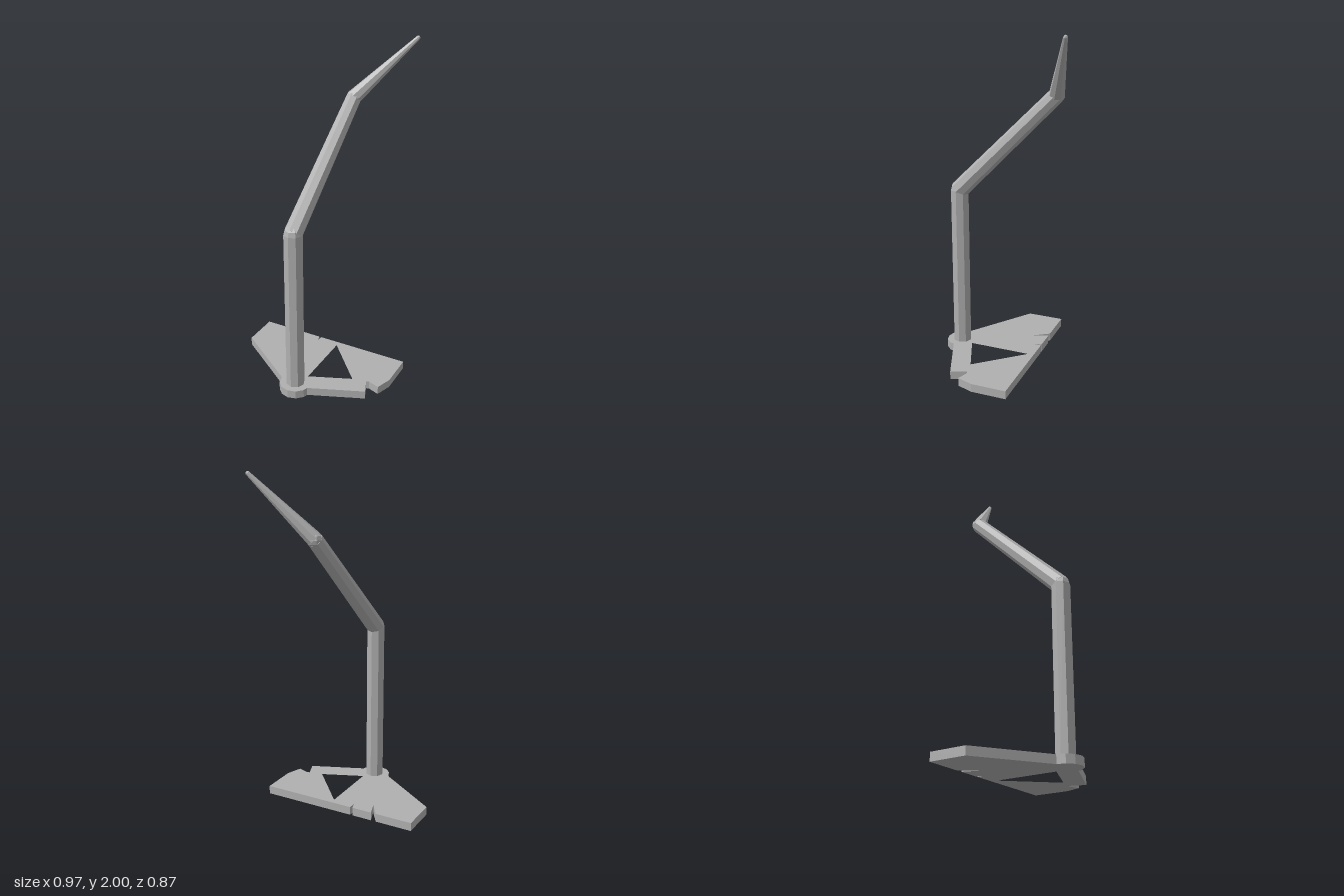
import * as THREE from 'three';

const grey = new THREE.MeshStandardMaterial({ color: 0xb0b0b0, flatShading: true });
grey.name = 'plain grey';

function part(name, geometry) {
  const mesh = new THREE.Mesh(geometry, grey);
  mesh.name = name;
  return mesh;
}

// Eight-sided rod tapering from a to b
function rod(name, a, b, ra, rb) {
  const dir = b.clone().sub(a);
  const mesh = part(name, new THREE.CylinderGeometry(rb, ra, dir.length(), 8));
  mesh.position.copy(a).addScaledVector(dir, 0.5);
  mesh.quaternion.setFromUnitVectors(new THREE.Vector3(0, 1, 0), dir.normalize());
  return mesh;
}

function joint(name, p, r) {
  const mesh = part(name, new THREE.SphereGeometry(r, 8, 6));
  mesh.position.copy(p);
  return mesh;
}

// Plan points are (x, z); the shape is drawn with z flipped
const plan = (points) => points.map(([x, z]) => new THREE.Vector2(x, -z));

export function createModel() {
  const group = new THREE.Group();
  group.name = 'bentPoleOnBase';

  // Rounded front lobe of the base, concentric with the pole
  const lobe = [];
  for (let deg = 60; deg >= -90; deg -= 30) {
    const t = THREE.MathUtils.degToRad(deg);
    lobe.push([Math.sin(t) * 0.095, 0.34 + Math.cos(t) * 0.094]);
  }

  // Notched base plate with a triangular opening
  const base = new THREE.Shape(plan([
    [-0.485, 0.07], [-0.485, -0.15], [-0.26, -0.15], [-0.198, -0.06], [-0.228, -0.15],
    [-0.105, -0.15], [-0.091, -0.104], [-0.09, -0.15], [0.485, -0.15], [0.485, 0.06],
    [0.453, 0.155], [0.385, 0.132], [0.369, 0.138], [0.405, 0.23], [0.09, 0.36],
    ...lobe,
  ]));
  base.holes.push(new THREE.Path(plan([[0.04, -0.115], [0.285, 0.155], [0.04, 0.258]])));
  const plate = new THREE.ExtrudeGeometry(base, { depth: 0.05, bevelEnabled: false });
  plate.rotateX(-Math.PI / 2);
  group.add(part('basePlate', plate));

  // Pole, leaning arm and tapered tip
  const foot = new THREE.Vector3(0, 0.01, 0.34);
  const knee = new THREE.Vector3(0, 1.03, 0.34);
  const elbow = new THREE.Vector3(0.055, 1.645, -0.277);
  const tip = new THREE.Vector3(0.37, 1.988, -0.423);
  group.add(
    rod('pole', foot, knee, 0.055, 0.055),
    joint('lowerJoint', knee, 0.055),
    rod('arm', knee, elbow, 0.055, 0.045),
    joint('upperJoint', elbow, 0.045),
    rod('tipSpike', elbow, tip, 0.045, 0.012),
    joint('tipEnd', tip, 0.012),
  );
  return group;
}
